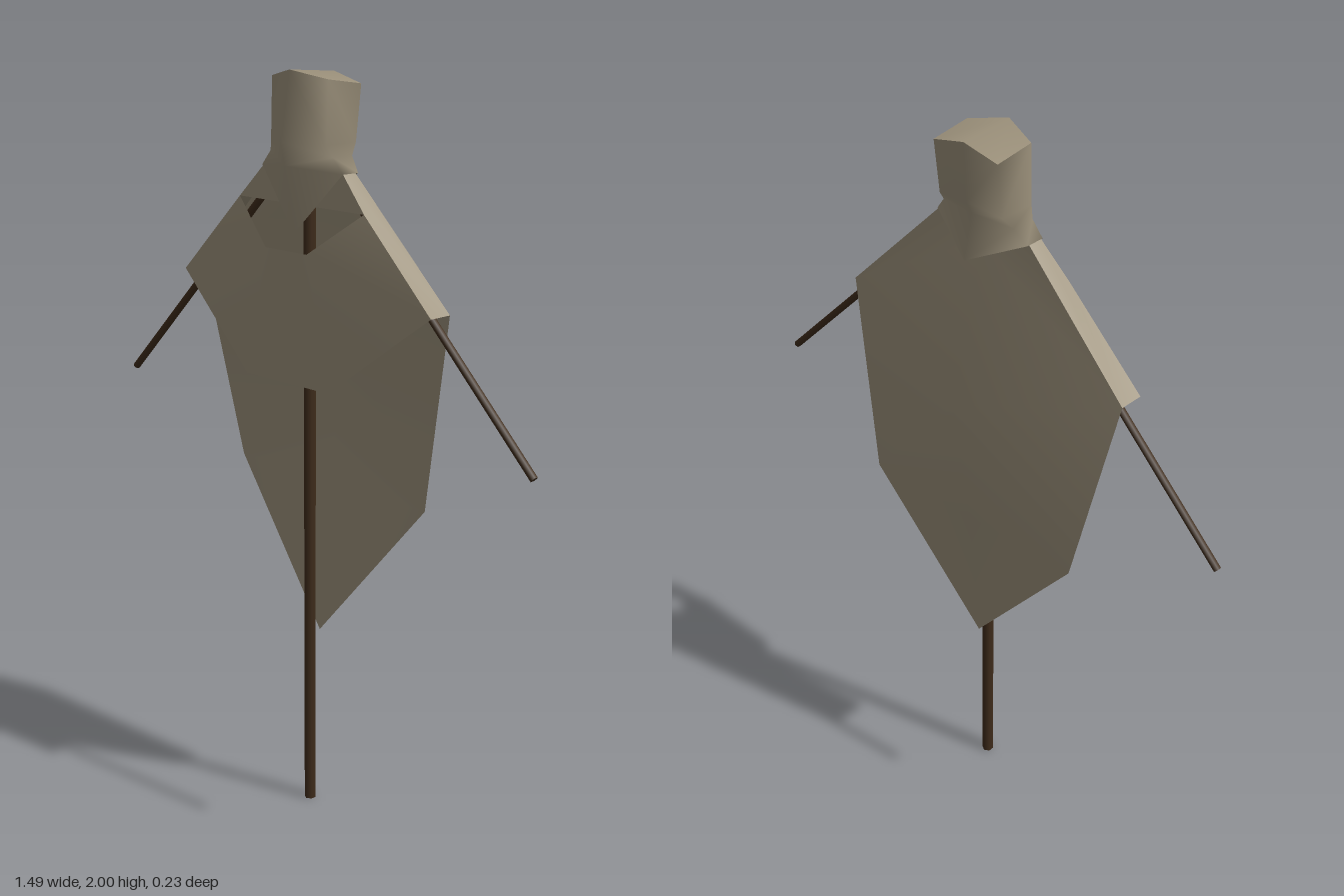
import * as THREE from 'three';
import { mergeVertices } from 'three/addons/utils/BufferGeometryUtils.js';

const cloth = new THREE.MeshStandardMaterial({ color: 0x9c917b, side: THREE.DoubleSide });
cloth.name = 'burlap cloth';
const wood = new THREE.MeshStandardMaterial({ color: 0x3f2c1b });
wood.name = 'dark wood';

// Smooth sheet from polygons on the +x half, mirrored across the middle
function sheet(name, polygons) {
  const out = [];
  for (const side of [1, -1]) {
    for (const poly of polygons) {
      for (let i = 1; i < poly.length - 1; i++) {
        const tri = side > 0 ? [poly[0], poly[i], poly[i + 1]] : [poly[0], poly[i + 1], poly[i]];
        for (const [x, y, z] of tri) out.push(x === 0 ? 0 : x * side, y, z);
      }
    }
  }
  const raw = new THREE.BufferGeometry();
  raw.setAttribute('position', new THREE.Float32BufferAttribute(out, 3));
  const geometry = mergeVertices(raw);
  geometry.computeVertexNormals();
  const mesh = new THREE.Mesh(geometry, cloth);
  mesh.name = name;
  return mesh;
}

// Straight stick between two points
function stick(name, from, to, radius) {
  const a = new THREE.Vector3(...from), b = new THREE.Vector3(...to);
  const mesh = new THREE.Mesh(new THREE.CylinderGeometry(radius, radius, a.distanceTo(b), 6), wood);
  mesh.position.copy(a).lerp(b, 0.5);
  mesh.quaternion.setFromUnitVectors(new THREE.Vector3(0, 1, 0), b.sub(a).normalize());
  mesh.name = name;
  return mesh;
}

export function createModel() {
  const group = new THREE.Group();
  group.name = 'scarecrow';

  // Wooden frame
  group.add(stick('pole', [0, 0, 0.017], [0, 1.8, 0.017], 0.016));
  for (const s of [1, -1]) {
    group.add(stick(s > 0 ? 'leftArm' : 'rightArm', [s * 0.06, 1.79, 0.012], [s * 0.74, 1.115, 0.012], 0.01));
  }

  // Shared cloak corners
  const neckFront = [0.13, 1.77, 0.04], neckBack = [0.13, 1.77, 0];
  const shoulderFront = [0.45, 1.45, 0.055], shoulderBack = [0.45, 1.45, -0.012];
  const holeTop = [0.225, 1.67, 0.052], holeLow = [0.075, 1.56, 0.1];
  const hem = [0.15, 1.22, 0.1];

  // Long back of the cloak, bulging at the middle and ending in a point
  const bulge = [0, 1.3, -0.115], low = [0.345, 0.92, -0.055], lowMid = [0, 0.92, -0.055];
  group.add(sheet('cloakBack', [
    [[0, 1.72, -0.005], neckBack, shoulderBack, bulge],
    [bulge, shoulderBack, low, lowMid],
    [lowMid, low, [0, 0.5, -0.02]],
  ]));

  // Short front drape below the neck opening
  group.add(sheet('cloakFront', [
    [[0, 1.56, 0.1], [0, 1.22, 0.1], hem, holeLow],
    [holeLow, hem, shoulderFront, holeTop],
  ]));

  // Chest piece above the opening, and the sloping shoulders
  group.add(sheet('cloakChest', [[[0, 1.67, 0.052], holeTop, neckFront, [0, 1.79, 0.04]]]));
  group.add(sheet('cloakShoulders', [[shoulderBack, neckBack, neckFront, holeTop, shoulderFront]]));

  // Hood rings, from crown to collar: front, front side, back side, back
  const rings = [
    [[0, 2, 0.085], [0.1, 1.98, 0.05], [0.1, 1.965, -0.062], [0, 1.99, -0.068]],
    [[0, 1.83, 0.115], [0.1, 1.825, 0.055], [0.1, 1.825, -0.045], [0, 1.84, -0.06]],
    [[0, 1.77, 0.102], [0.112, 1.795, 0.046], [0.112, 1.795, -0.02], [0, 1.805, -0.042]],
    [[0, 1.6, 0.072], [0.145, 1.757, 0.045], [0.145, 1.757, -0.008], [0, 1.69, -0.068]],
  ];
  const walls = [];
  for (let r = 0; r < rings.length - 1; r++) {
    for (let j = 0; j < 3; j++) {
      walls.push([rings[r][j], rings[r + 1][j], rings[r + 1][j + 1], rings[r][j + 1]]);
    }
  }
  group.add(sheet('hood', walls));
  group.add(sheet('hoodCrown', [rings[0]]));

  return group;
}
